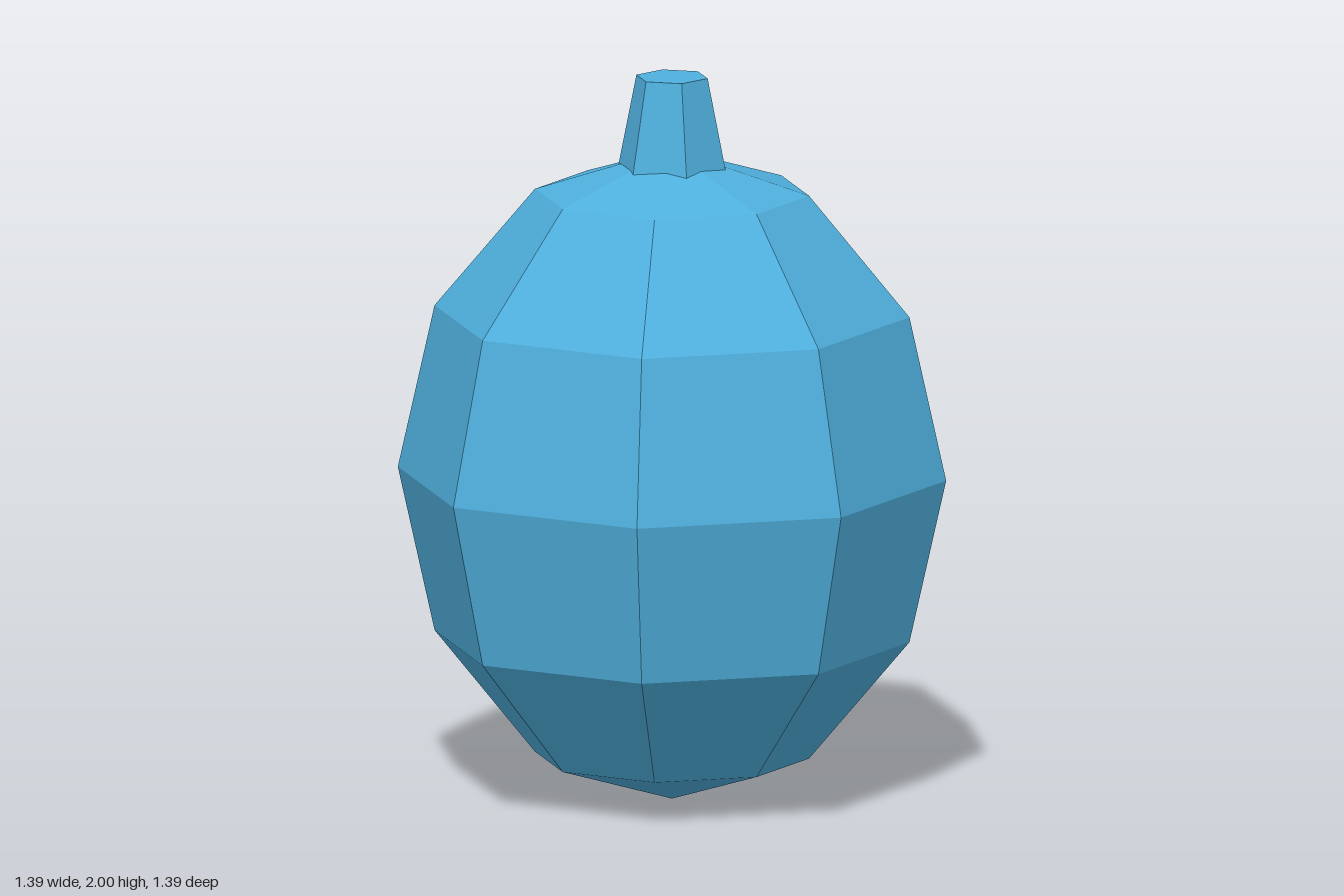
import * as THREE from 'three';

export function createModel() {
  const group = new THREE.Group();
  const blue = new THREE.MeshStandardMaterial({ color: 0x4fb0de, flatShading: true });
  blue.name = 'skyBlue';

  // Faceted egg-shaped body, flat sides turned to the axes
  const bodyGeometry = new THREE.SphereGeometry(0.75, 8, 6);
  bodyGeometry.rotateY(Math.PI / 8);
  bodyGeometry.scale(1, 1.2, 1);
  const body = new THREE.Mesh(bodyGeometry, blue);
  body.name = 'body';
  body.position.y = 0.9;
  group.add(body);

  // Tapered six-sided stem, sunk slightly into the body
  const stem = new THREE.Mesh(new THREE.CylinderGeometry(0.1, 0.16, 0.3, 6), blue);
  stem.name = 'stem';
  stem.position.y = 1.85;
  group.add(stem);

  return group;
}
